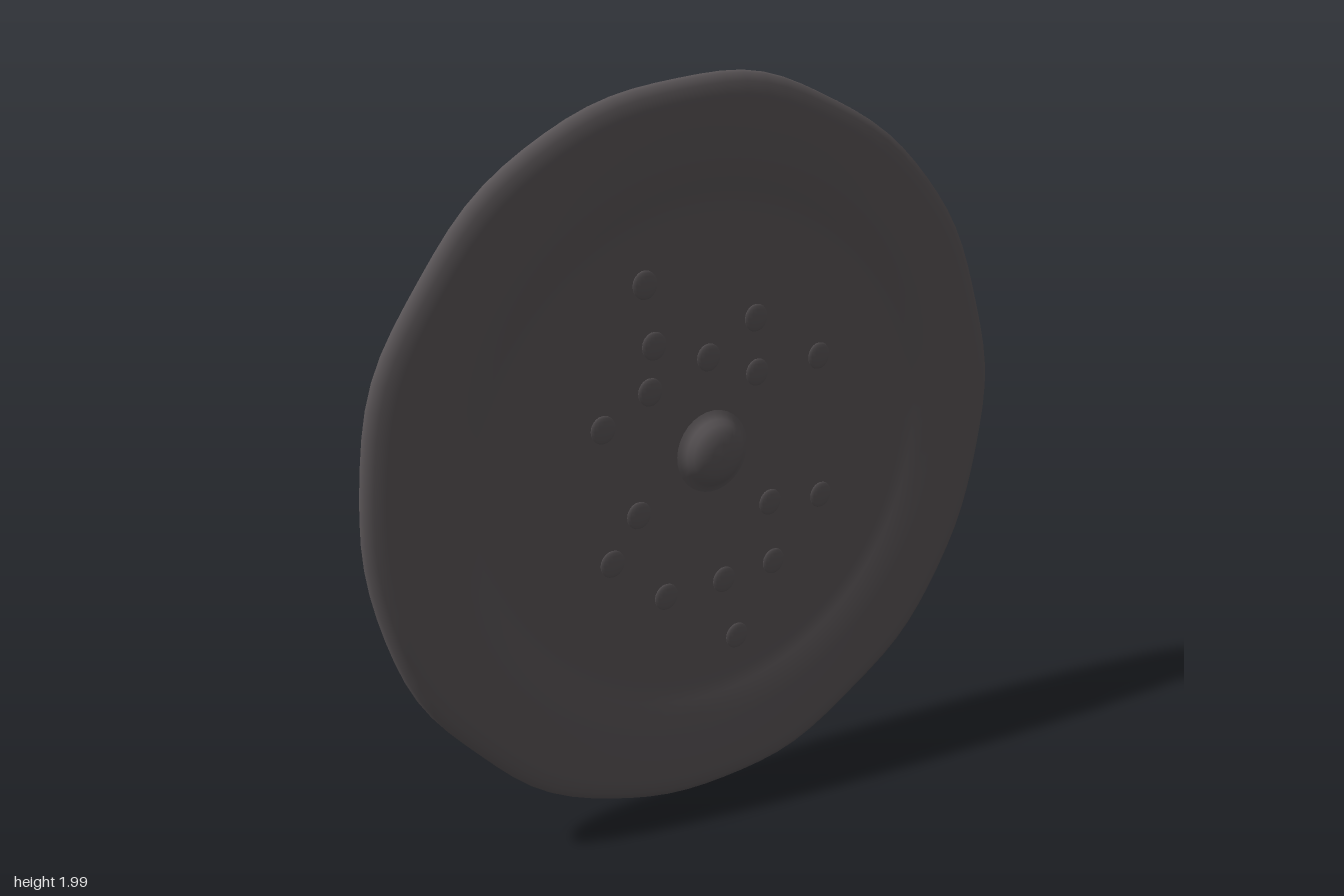
import * as THREE from 'three';
import { mergeVertices } from 'three/addons/utils/BufferGeometryUtils.js';

const FLOOR = 0.018; // height of the recessed front face

// Turned disc whose edge is slightly uneven, like hand-worked metal
function discGeometry() {
  const profile = [
    [0, -0.04], [0.5, -0.04], [0.85, -0.04], [0.91, -0.037], [0.95, -0.027], [0.98, -0.01],
    [0.995, 0.01], [0.99, 0.026], [0.97, 0.038], [0.94, 0.043], [0.9, 0.042], [0.8, 0.038],
    [0.75, 0.034], [0.71, 0.024], [0.67, 0.018], [0.6, FLOOR], [0.3, FLOOR], [0, FLOOR],
  ].map(([r, z]) => new THREE.Vector2(r, z));
  let geo = new THREE.LatheGeometry(profile, 96);
  geo.rotateX(Math.PI / 2);
  geo.deleteAttribute('uv');
  geo.deleteAttribute('normal');
  const pos = geo.attributes.position;
  for (let i = 0; i < pos.count; i++) {
    const x = pos.getX(i), y = pos.getY(i);
    const r = Math.hypot(x, y), a = Math.atan2(y, x);
    const edge = THREE.MathUtils.smoothstep(r, 0.8, 1);
    const k = 1 + edge * (0.004 * Math.sin(9 * a + 1) + 0.003 * Math.sin(14 * a));
    pos.setXY(i, x * k, y * k);
  }
  geo = mergeVertices(geo, 1e-4);
  geo.computeVertexNormals();
  return geo;
}

export function createModel() {
  const model = new THREE.Group();
  const darkMetal = new THREE.MeshStandardMaterial({ color: 0x5a5557 });
  darkMetal.name = 'darkMetal';

  // Whole disc leans forward and turns a little
  const disc = new THREE.Group();
  disc.name = 'disc';
  disc.position.y = 1.003;
  disc.rotation.set(0.044, 0.02, 0);
  model.add(disc);

  const add = (name, geo, x = 0, y = 0, z = 0) => {
    const mesh = new THREE.Mesh(geo, darkMetal);
    mesh.name = name;
    mesh.position.set(x, y, z);
    disc.add(mesh);
    return mesh;
  };
  add('plate', discGeometry());

  // Central boss with a flared foot
  const bossProfile = [
    [0.125, -0.004], [0.105, 0.003], [0.092, 0.014], [0.08, 0.029], [0.06, 0.041], [0.032, 0.048], [0, 0.05],
  ].map(([r, z]) => new THREE.Vector2(r, z));
  add('boss', new THREE.LatheGeometry(bossProfile, 32).rotateX(Math.PI / 2), 0, 0.01, FLOOR);

  // Low studs scattered round the boss
  const stud = new THREE.SphereGeometry(1, 16, 10).scale(0.038, 0.038, 0.007);
  const studs = [
    [-0.19, 0.32], [0.13, 0.36], [-0.02, 0.27], [-0.34, 0.12], [0.35, 0.23], [-0.31, -0.25],
    [-0.14, -0.38], [0.05, -0.37], [0.22, -0.35], [0.38, -0.18], [0.1, -0.55], [-0.22, 0.48],
    [-0.23, -0.13], [0.2, -0.17], [0.14, 0.21], [-0.2, 0.2],
  ];
  studs.forEach(([x, y]) => add('stud', stud, x, y, FLOOR - 0.001));

  return model;
}
